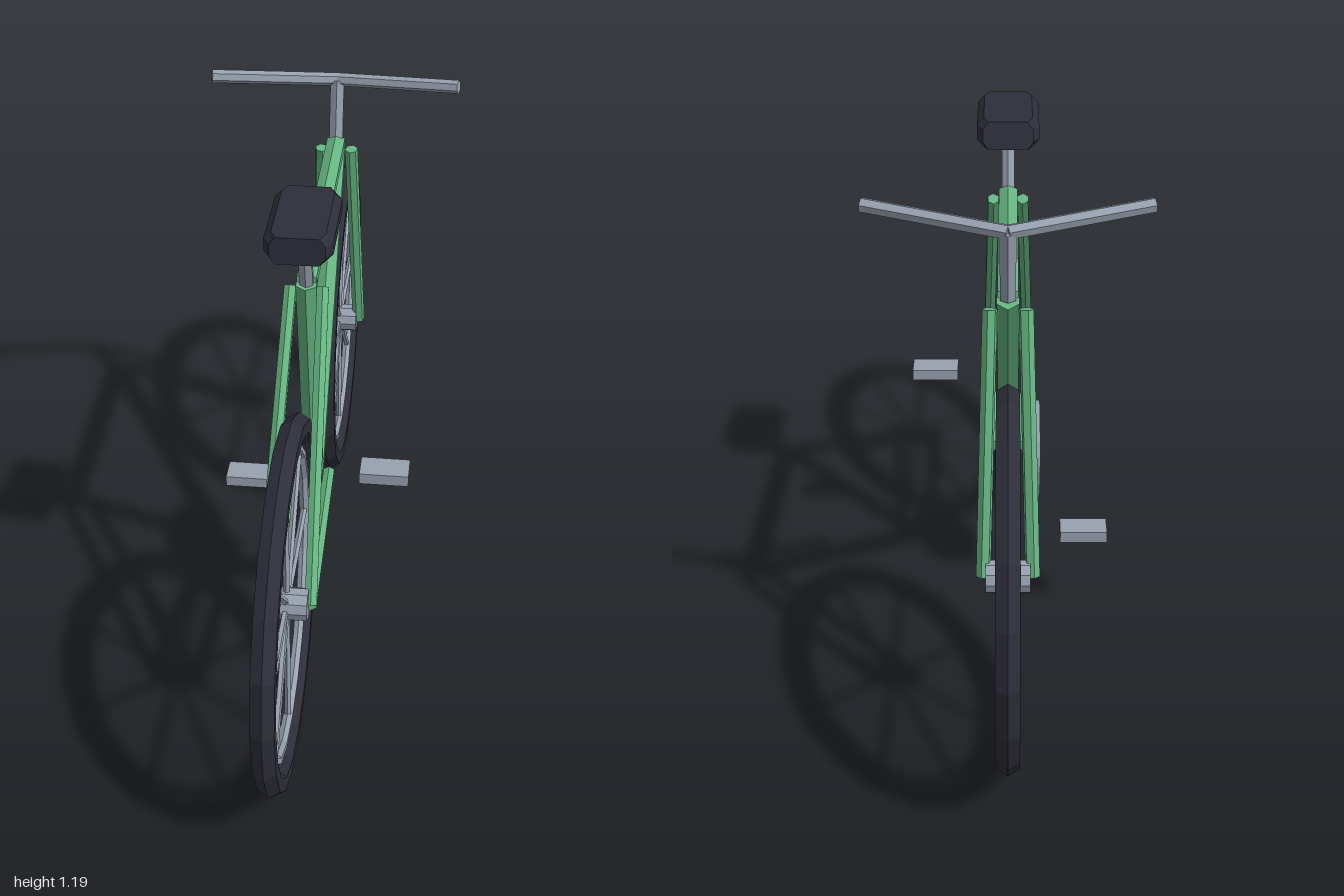
import * as THREE from 'three';

const mat = (name, color) => {
  const m = new THREE.MeshStandardMaterial({ color });
  m.name = name;
  return m;
};

export function createModel() {
  const green = mat('green paint', 0x66b682);
  const metal = mat('grey metal', 0x98a1b0);
  const black = mat('black rubber', 0x2e2e3b);
  const model = new THREE.Group();
  model.name = 'bicycle';

  // Adds a faceted mesh
  const add = (name, geo, material, parent = model) => {
    let g = geo;
    if (geo.index) g = geo.toNonIndexed();
    g.computeVertexNormals();
    const mesh = new THREE.Mesh(g, material);
    mesh.name = name;
    parent.add(mesh);
    return mesh;
  };

  // Straight tube between two points
  const tube = (name, a, b, r, material, parent = model, sides = 6) => {
    const p = new THREE.Vector3(...a), q = new THREE.Vector3(...b);
    const d = q.clone().sub(p);
    const mesh = add(name, new THREE.CylinderGeometry(r, r, d.length(), sides), material, parent);
    mesh.position.copy(p).add(q).multiplyScalar(0.5);
    mesh.quaternion.setFromUnitVectors(new THREE.Vector3(0, 1, 0), d.normalize());
    return mesh;
  };

  // Wheels: tyre, rim, hub and eight spokes
  const axleY = 0.412;
  for (const [name, z] of [['rearWheel', 0.59], ['frontWheel', -0.59]]) {
    const wheel = new THREE.Group();
    wheel.name = name;
    wheel.position.set(0, axleY, z);
    model.add(wheel);
    add('tyre', new THREE.TorusGeometry(0.383, 0.028, 6, 20).rotateY(Math.PI / 2), black, wheel);
    add('rim', new THREE.TorusGeometry(0.335, 0.0125, 6, 20).rotateY(Math.PI / 2), metal, wheel);
    add('hub', new THREE.CylinderGeometry(0.036, 0.036, 0.094, 10).rotateZ(Math.PI / 2), metal, wheel);
    for (let i = 0; i < 8; i++) {
      const a = i * Math.PI / 4;
      tube('spoke', [0, 0, 0], [0, 0.335 * Math.sin(a), 0.335 * Math.cos(a)], 0.0075, metal, wheel, 5);
    }
  }

  // Main frame triangle
  const bracket = [0, 0.365, 0.054], seatTop = [0, 0.976, 0.193], head = [0, 0.995, -0.458];
  tube('seatTube', bracket, seatTop, 0.026, green);
  tube('topTube', seatTop, head, 0.025, green);
  tube('downTube', bracket, head, 0.027, green);

  // Paired stays and fork legs
  for (const s of [-1, 1]) {
    tube('seatStay', [s * 0.035, 0.965, 0.19], [s * 0.052, axleY, 0.59], 0.015, green);
    tube('chainStay', [s * 0.037, 0.37, 0.056], [s * 0.052, axleY, 0.59], 0.015, green);
    tube('forkLeg', [s * 0.037, 0.975, -0.468], [s * 0.052, axleY, -0.588], 0.016, green);
    tube('handlebar', [0, 1.15, -0.488], [s * 0.295, 1.178, -0.41], 0.016, metal);
  }
  tube('stem', head, [0, 1.15, -0.486], 0.019, metal);
  tube('seatPost', seatTop, [0, 1.125, 0.238], 0.017, metal);

  // Chainring on the right and a pair of opposite pedals
  add('chainring', new THREE.CylinderGeometry(0.12, 0.12, 0.02, 20).rotateZ(Math.PI / 2), metal)
    .position.set(-0.067, 0.363, 0.056);
  for (const [s, y, z] of [[1, 0.5, 0.216], [-1, 0.225, -0.103]]) {
    add('pedal', new THREE.BoxGeometry(0.112, 0.027, 0.066), metal).position.set(s * 0.181, y, z);
  }

  // Saddle: chamfered section lofted along z, narrower at the ends, nose slanted
  const section = [[-1, -0.45], [-0.78, -1], [0.78, -1], [1, -0.45], [1, 0.45], [0.78, 1], [-0.78, 1], [-1, 0.45]];
  const rings = [[0.12, 0.8], [0.145, 1], [0.335, 1], [0.36, 0.8]];
  const pos = [], idx = [];
  rings.forEach(([z, w], k) => {
    for (const [x, y] of section) {
      pos.push(x * w * 0.072, 1.144 + y * 0.031, z + (k < 2 ? y * 0.009 : 0));
    }
    for (let i = 0; k < 3 && i < 8; i++) {
      const a = k * 8 + i, b = k * 8 + (i + 1) % 8;
      idx.push(a, b, b + 8, a, b + 8, a + 8);
    }
  });
  for (let i = 1; i < 7; i++) idx.push(0, i + 1, i, 24, 24 + i, 25 + i);
  const saddle = new THREE.BufferGeometry();
  saddle.setAttribute('position', new THREE.Float32BufferAttribute(pos, 3));
  saddle.setIndex(idx);
  add('saddle', saddle, black);

  return model;
}
